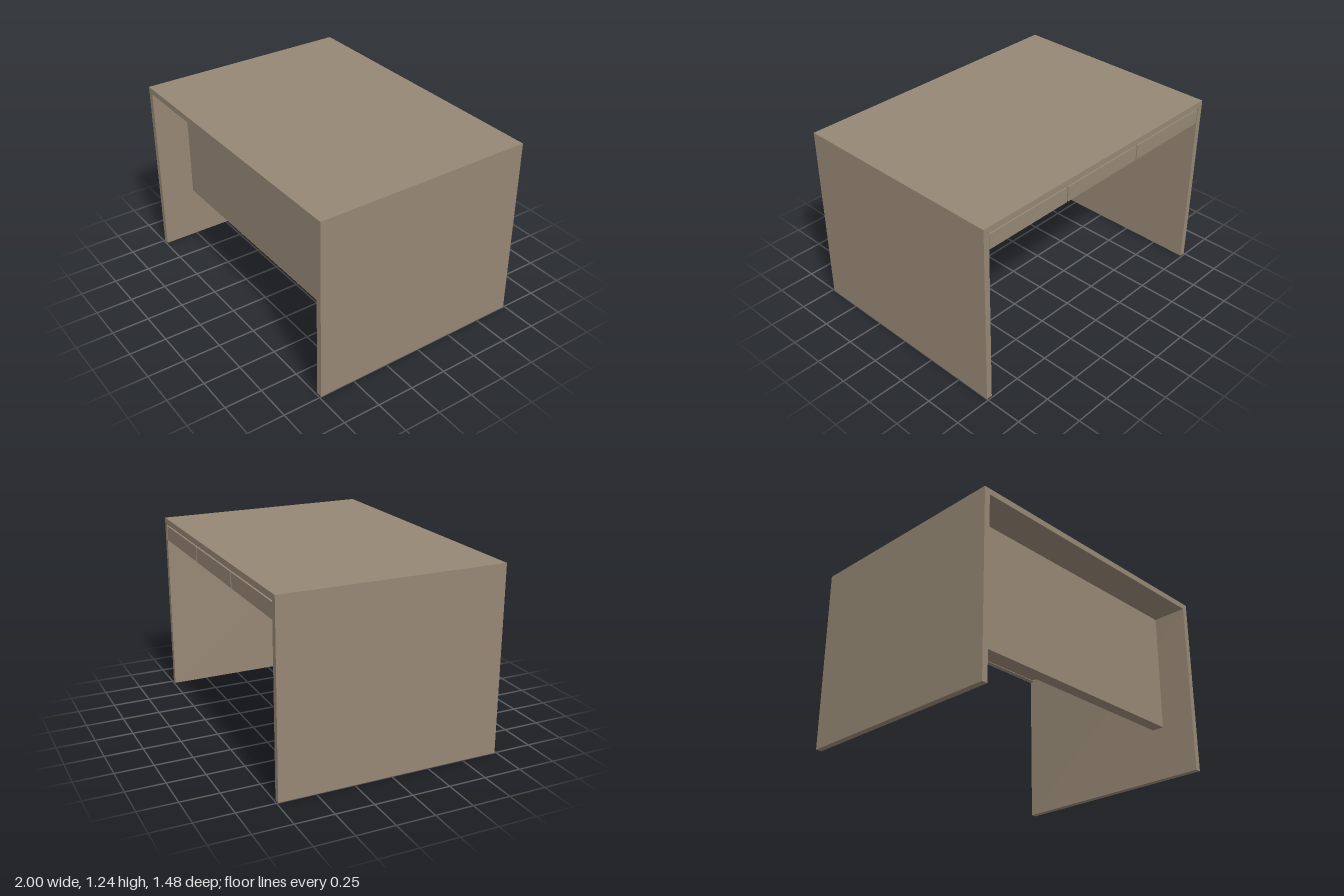
import * as THREE from 'three';

export function createModel() {
  const desk = new THREE.Group();
  desk.name = 'desk';
  const wood = new THREE.MeshStandardMaterial({ color: 0x968774 });
  wood.name = 'taupe wood';

  // Box given by its lower and upper limits on each axis
  const board = (name, [x0, x1], [y0, y1], [z0, z1], parent = desk) => {
    const mesh = new THREE.Mesh(new THREE.BoxGeometry(x1 - x0, y1 - y0, z1 - z0), wood);
    mesh.position.set((x0 + x1) / 2, (y0 + y1) / 2, (z0 + z1) / 2);
    mesh.name = name;
    parent.add(mesh);
  };

  const inner = 0.96, depth = [-0.74, 0.74], under = 1.202;

  // Top, full-depth side panels and the recessed front panel
  board('desktop', [-1, 1], [under, 1.242], depth);
  board('leftSide', [inner, 1], [0, under], depth);
  board('rightSide', [-1, -inner], [0, under], depth);
  board('modestyPanel', [-inner, inner], [0.367, under], [0.415, 0.5]);

  // Three open-topped drawers along the back
  const bay = (2 * inner) / 3, gap = 0.005, inset = 0.022, wall = 0.012;
  const bottom = 1.095, rim = 1.18, start = -0.7, end = 0.35;
  for (let i = 0; i < 3; i++) {
    const x0 = -inner + i * bay, x1 = x0 + bay;
    const a = x0 + inset, b = x1 - inset;
    const drawer = new THREE.Group();
    drawer.name = 'drawer' + (i + 1);
    board('drawerFront', [x0 + gap, x1 - gap], [1.09, 1.19], [-0.738, start], drawer);
    board('drawerBottom', [a, b], [bottom, bottom + wall], [start, end], drawer);
    board('drawerSide', [a, a + wall], [bottom + wall, rim], [start, end], drawer);
    board('drawerSide', [b - wall, b], [bottom + wall, rim], [start, end], drawer);
    board('drawerBack', [a + wall, b - wall], [bottom + wall, rim], [end - wall, end], drawer);
    desk.add(drawer);
    // Runner between neighbouring drawers
    if (i > 0) board('drawerRail', [x0 - 0.014, x0 + 0.014], [1.105, under], [-0.67, 0.415]);
  }
  return desk;
}
